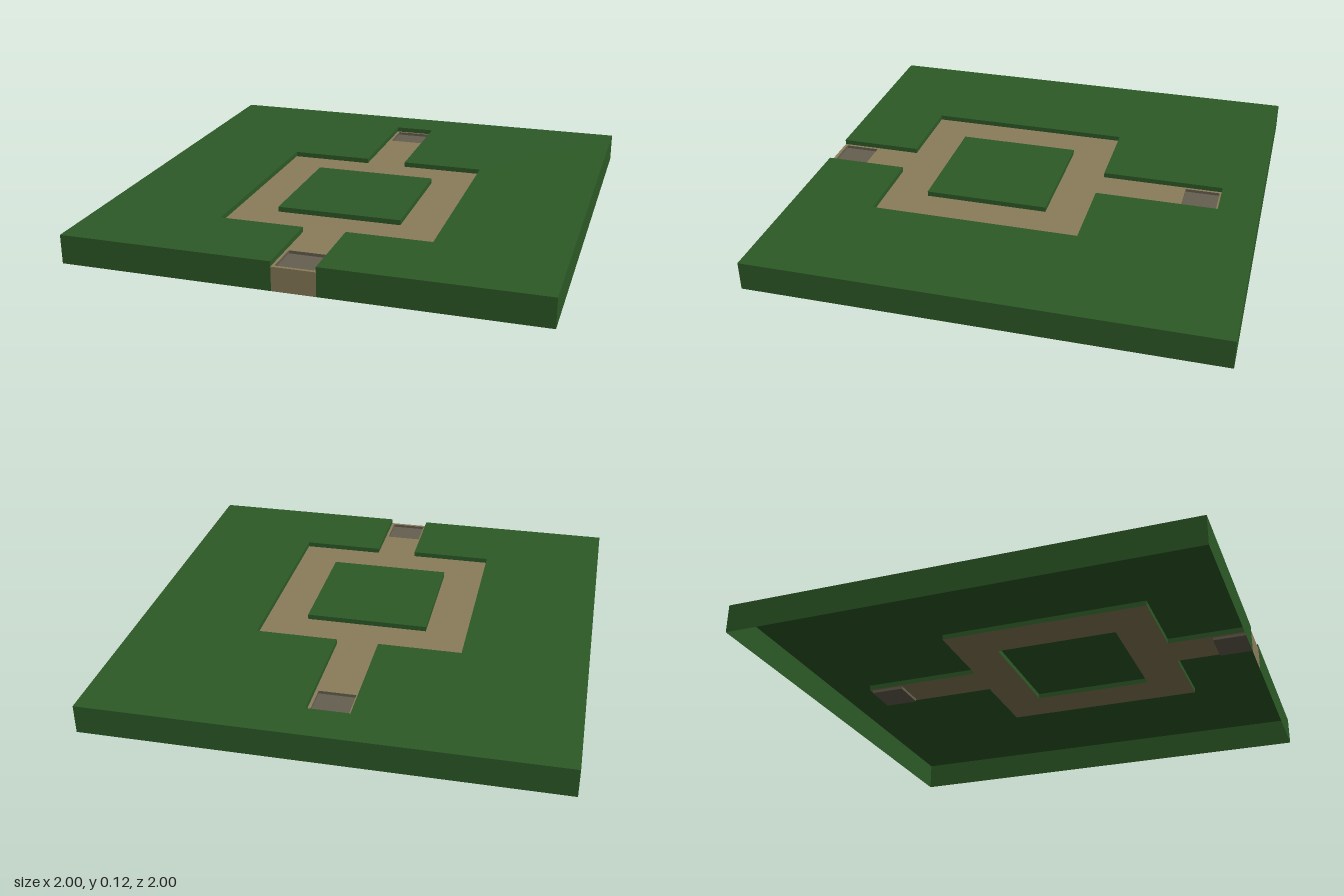
import * as THREE from 'three';

const TOP = 0.125, PATH = 0.103, PAD = 0.09;

const material = (color) => new THREE.MeshStandardMaterial({ color, side: THREE.DoubleSide });

// Corners are [x, z] pairs, counter-clockwise seen from above
const rect = (x0, x1, z0, z1) => [[x0, z1], [x1, z1], [x1, z0], [x0, z0]];
const flat = (pts) => pts.map(([x, z]) => new THREE.Vector2(x, -z));

// Horizontal sheet with optional holes
function sheet(name, pts, holes, y, mat) {
  const shape = new THREE.Shape(flat(pts));
  shape.holes = holes.map((h) => new THREE.Path(flat(h)));
  const mesh = new THREE.Mesh(new THREE.ShapeGeometry(shape).rotateX(-Math.PI / 2), mat);
  mesh.position.y = y;
  mesh.name = name;
  return mesh;
}

// Vertical strip along a line of corners, facing right of the direction of travel
function wall(name, pts, y0, y1, mat, closed = true) {
  const pos = [];
  const count = closed ? pts.length : pts.length - 1;
  for (let i = 0; i < count; i++) {
    const [ax, az] = pts[i], [bx, bz] = pts[(i + 1) % pts.length];
    pos.push(ax, y0, az, bx, y0, bz, bx, y1, bz, ax, y0, az, bx, y1, bz, ax, y1, az);
  }
  const geo = new THREE.BufferGeometry();
  geo.setAttribute('position', new THREE.Float32BufferAttribute(pos, 3));
  geo.computeVertexNormals();
  const mesh = new THREE.Mesh(geo, mat);
  mesh.name = name;
  return mesh;
}

export function createModel() {
  const group = new THREE.Group();
  group.name = 'gardenTile';
  const grass = material(0x2d5a27), dirt = material(0x8b7d5b), stone = material(0x666050);

  // Path outline: starts and ends at the open front edge
  const [l, r] = [-0.093, 0.091];
  const [L, R, back, front] = [-0.459, 0.456, -0.278, 0.636];
  const outline = [
    [r, 1], [r, front], [R, front], [R, back], [r, back], [r, -0.82],
    [l, -0.82], [l, back], [L, back], [L, front], [l, front], [l, 1],
  ];
  const island = rect(-0.273, 0.27, -0.092, 0.45);
  const pads = { backPad: rect(-0.081, 0.078, -0.81, -0.657), frontPad: rect(-0.081, 0.078, 0.832, 0.986) };

  // Lawn with the path cut out, open underneath
  const lawn = [[-1, -1], [-1, 1], ...outline.slice().reverse(), [1, 1], [1, -1]];
  group.add(sheet('lawn', lawn, [], TOP, grass));
  group.add(sheet('island', island, [], TOP, grass));
  group.add(wall('outerSides', [[r, 1], [1, 1], [1, -1], [-1, -1], [-1, 1], [l, 1]], 0, TOP, grass, false));

  // Sunken path, its banks and the front end
  group.add(sheet('path', outline, [island, ...Object.values(pads)], PATH, dirt));
  group.add(wall('pathBanks', outline.slice().reverse(), PATH, TOP, grass, false));
  group.add(wall('islandBanks', island, PATH, TOP, grass));
  group.add(wall('pathFrontEnd', [[l, 1], [r, 1]], 0, PATH, dirt, false));

  // Recessed stone pads at both ends
  for (const [name, pts] of Object.entries(pads)) {
    group.add(sheet(name, pts, [], PAD, stone));
    group.add(wall(name + 'Rim', pts.slice().reverse(), PAD, PATH, stone));
  }
  return group;
}
